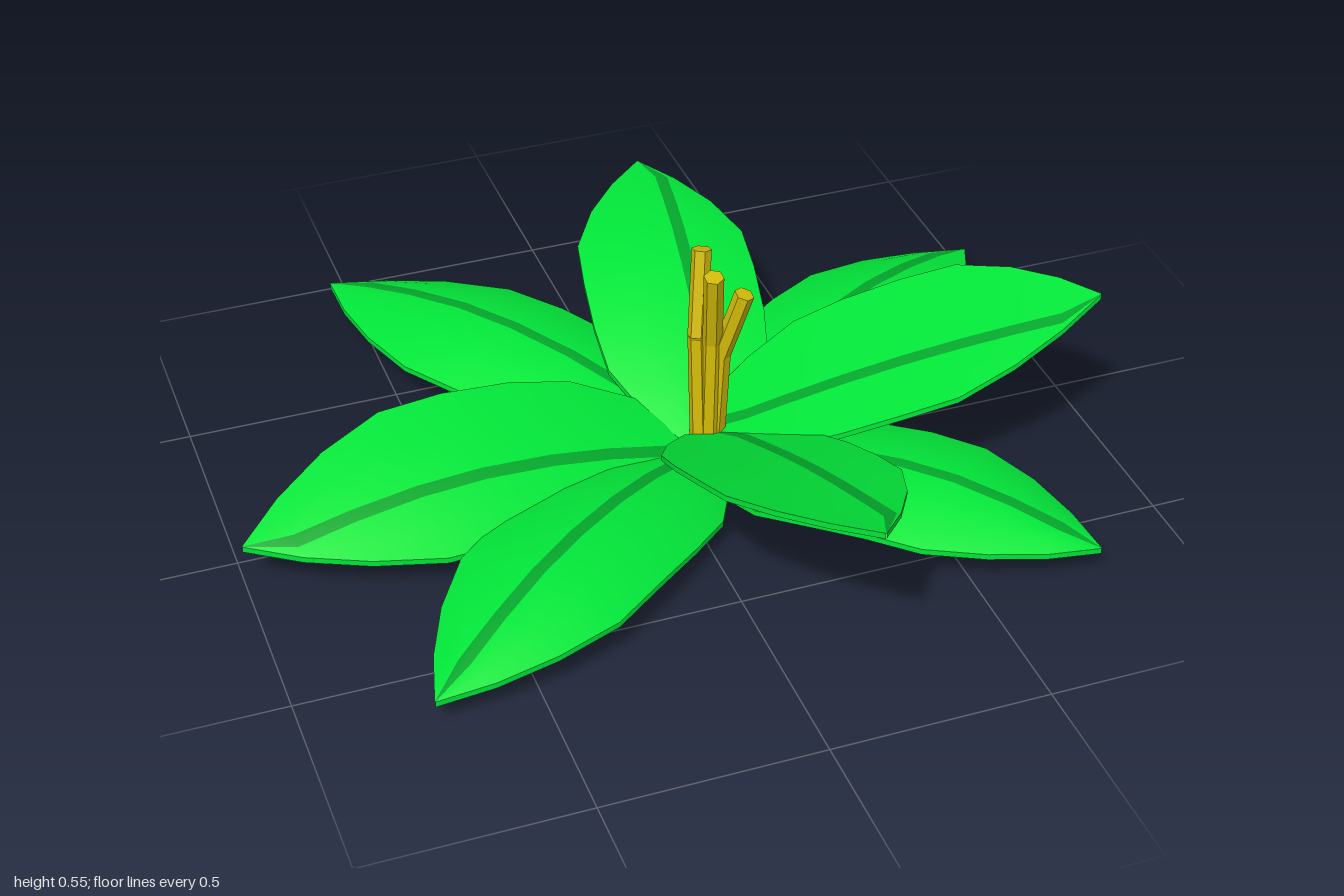
import * as THREE from 'three';
import { toCreasedNormals } from 'three/addons/utils/BufferGeometryUtils.js';

const mat = (name, color) => {
  const m = new THREE.MeshStandardMaterial({ color });
  m.name = name;
  return m;
};

// Leaf outline: position along the length, half width
const OUTLINE = [[0, 0.05], [0.1, 0.13], [0.22, 0.19], [0.35, 0.205], [0.5, 0.208],
  [0.64, 0.203], [0.78, 0.15], [0.9, 0.08], [1, 0.001]];

// A thin closed blade; roll lifts one side, cup bends the edges, rib shifts the midrib
function leafGeometry({ root = [0.1, 0], tip, base, arch, roll = 0, cup = 0, rib = 0 }) {
  const [tx, ty, tz] = tip;
  const dx = tx - root[0], dz = tz - root[1];
  const len = Math.hypot(dx, dz);
  const px = -dz / len, pz = dx / len;
  const thick = 0.014, pos = [];
  for (const [t, w] of OUTLINE) {
    const y = base + (ty - base) * t + arch * Math.sin(Math.PI * t);
    const half = Math.min(0.015 / w, 0.5);
    const m = THREE.MathUtils.clamp(rib / w, half - 0.95, 0.95 - half);
    const a = m - half, b = m + half;
    const cols = [-1, (a - 1) / 2, a, b, (b + 1) / 2, 1];
    const put = (s, drop) => pos.push(
      root[0] + dx * t + px * w * s,
      y + (roll * s + cup * (s * s - 0.4)) * (w / 0.21) - drop,
      root[1] + dz * t + pz * w * s);
    cols.forEach(s => put(s, 0));
    cols.reverse().forEach(s => put(s, thick));
  }
  const n = 12, blade = [], stripe = [];
  for (let i = 0; i < OUTLINE.length - 1; i++) {
    for (let j = 0; j < n; j++) {
      const k = (j + 1) % n;
      const a = i * n + j, b = i * n + k, c = a + n, d = b + n;
      (j === 2 ? stripe : blade).push(a, b, c, b, d, c);
    }
  }
  const g = new THREE.BufferGeometry();
  g.setAttribute('position', new THREE.Float32BufferAttribute(pos, 3));
  g.setIndex([...blade, ...stripe]);
  g.addGroup(0, blade.length, 0);
  g.addGroup(blade.length, stripe.length, 1);
  return toCreasedNormals(g, 0.7);
}

// Six-sided rod between two points
function rod(a, b, radius, material) {
  const from = new THREE.Vector3(...a), to = new THREE.Vector3(...b);
  const dir = to.clone().sub(from);
  const g = new THREE.CylinderGeometry(radius, radius, dir.length(), 6);
  const mesh = new THREE.Mesh(toCreasedNormals(g, 0.5), material);
  mesh.position.copy(from).add(to).multiplyScalar(0.5);
  mesh.quaternion.setFromUnitVectors(new THREE.Vector3(0, 1, 0), dir.normalize());
  return mesh;
}

export function createModel() {
  const model = new THREE.Group();
  model.name = 'flower';
  const green = mat('leaf green', 0x02ea3a);
  const dark = mat('midrib green', 0x04a82c);
  const gold = mat('stamen gold', 0xd2ba06);

  // Lower, flat leaves then the raised ones
  const leaves = [
    { tip: [-0.55, 0.07, -0.92], base: 0.03, arch: 0.08, cup: -0.055, rib: 0.02 },
    { tip: [1, 0.07, -0.53], base: 0.03, arch: 0.08, cup: -0.055, rib: -0.02 },
    { tip: [0.775, 0.07, 0.675], base: 0.03, arch: 0.08, cup: -0.055 },
    { tip: [-0.735, 0.07, 0.665], base: 0.03, arch: 0.08, cup: -0.055 },
    { root: [0.1, -0.03], tip: [-1, 0.11, 0.085], base: 0.05, arch: 0.08, roll: 0.065, cup: -0.02, rib: -0.04 },
    { tip: [0.26, 0.26, -0.92], base: 0.07, arch: 0.07, cup: -0.03, rib: 0.045 },
    { tip: [0.14, 0.46, 0.915], base: 0.085, arch: 0.025, roll: 0.025, cup: 0.01, rib: -0.055 },
    { root: [0.13, -0.06], tip: [0.94, 0.45, 0.275], base: 0.09, arch: 0.025, roll: -0.045, rib: 0.045 },
  ];
  leaves.forEach((leaf, i) => {
    const mesh = new THREE.Mesh(leafGeometry(leaf), [green, dark]);
    mesh.name = `leaf${i + 1}`;
    model.add(mesh);
  });

  // Small hub joining the leaf bases
  const hub = new THREE.Mesh(new THREE.CylinderGeometry(0.06, 0.02, 0.07, 8), green);
  hub.name = 'hub';
  hub.position.set(0.1, 0.035, 0);
  model.add(hub);

  // Bent stamens: base, knee, tip
  const stamens = [
    [[0.09, 0.06, -0.005], [0.09, 0.34, -0.025], [0.115, 0.54, -0.07]],
    [[0.11, 0.06, 0.005], [0.115, 0.34, 0.005], [0.1, 0.54, 0.048]],
    [[0.125, 0.06, 0], [0.135, 0.3, 0.005], [0.178, 0.47, 0.035]],
  ];
  stamens.forEach(([a, b, c], i) => {
    const stamen = new THREE.Group();
    stamen.name = `stamen${i + 1}`;
    stamen.add(rod(a, b, 0.023, gold), rod(b, c, 0.023, gold));
    model.add(stamen);
  });
  return model;
}
